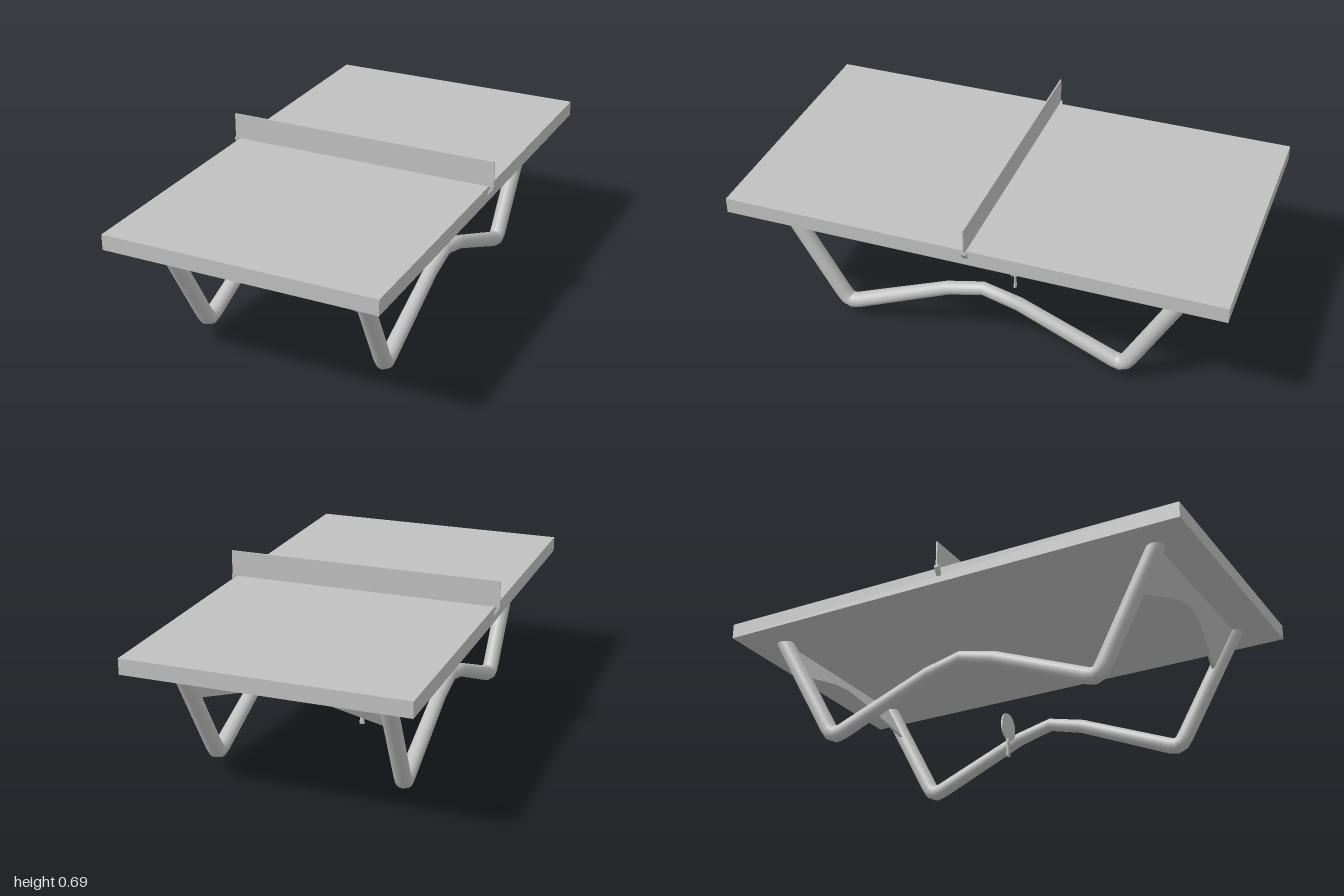
import * as THREE from 'three';

const grey = new THREE.MeshStandardMaterial({ color: 0xc0c0c0 });
grey.name = 'grey';

function add(parent, name, geometry) {
  const mesh = new THREE.Mesh(geometry, grey);
  mesh.name = name;
  parent.add(mesh);
  return mesh;
}

// Mitred pipe lying close to a plane of constant x; each point is [x, y, z, radius]
function pipe(points, sides = 20) {
  const centres = points.map(p => new THREE.Vector3(p[0], p[1], p[2]));
  const positions = [], index = [];
  const side = new THREE.Vector3(1, 0, 0);
  const last = points.length - 1;
  centres.forEach((c, i) => {
    const before = c.clone().sub(centres[Math.max(i - 1, 0)]).normalize();
    const after = centres[Math.min(i + 1, last)].clone().sub(c).normalize();
    const tangent = before.clone().add(after).normalize();
    const up = new THREE.Vector3().crossVectors(tangent, side).normalize();
    const r = points[i][3];
    for (let j = 0; j < sides; j++) {
      const a = j / sides * Math.PI * 2;
      const v = c.clone().addScaledVector(side, Math.cos(a) * r).addScaledVector(up, Math.sin(a) * r);
      positions.push(v.x, v.y, v.z);
      if (i < last) {
        const k = (j + 1) % sides, p = i * sides, q = p + sides;
        index.push(p + j, q + j, p + k, p + k, q + j, q + k);
      }
    }
  });
  // swap the winding if the first face points inward
  const geometry = new THREE.BufferGeometry();
  geometry.setAttribute('position', new THREE.Float32BufferAttribute(positions, 3));
  const [a, b, c] = [0, 1, 2].map(n => new THREE.Vector3().fromArray(positions, index[n] * 3));
  const normal = b.clone().sub(a).cross(c.clone().sub(a));
  if (normal.dot(a.clone().sub(centres[0])) < 0) index.reverse();
  geometry.setIndex(index);
  geometry.computeVertexNormals();
  return geometry;
}

export function createModel() {
  const model = new THREE.Group();
  model.name = 'tableTennisTable';

  // Table top and net
  add(model, 'tableTop', new THREE.BoxGeometry(1.11, 0.063, 2)).position.y = 0.5565;
  add(model, 'net', new THREE.BoxGeometry(1.15, 0.108, 0.006)).position.y = 0.641;

  // Net brackets: tapered struts from the table edge up to the net ends
  for (const s of [1, -1]) {
    const shape = new THREE.Shape([[0.553, 0.565], [0.553, 0.55], [0.575, 0.582], [0.575, 0.592], [0.568, 0.592]]
      .map(([x, y]) => new THREE.Vector2(x, y)));
    const geometry = new THREE.ExtrudeGeometry(shape, { depth: 0.02, bevelEnabled: false });
    geometry.translate(0, 0, -0.01);
    const bracket = add(model, s > 0 ? 'leftNetBracket' : 'rightNetBracket', geometry);
    if (s < 0) bracket.rotation.y = Math.PI;
  }

  // Bent pipe legs, one along each long side
  const half = [
    [0.403, 0.545, 0.851, 0.033], [0.386, 0.107, 0.61, 0.033], [0.385, 0.081, 0.593, 0.033],
    [0.384, 0.07, 0.57, 0.033], [0.383, 0.077, 0.54, 0.032], [0.378, 0.24, 0.15, 0.028], [0.378, 0.278, 0, 0.027],
  ];
  const path = [...half, ...half.slice(0, -1).reverse().map(([x, y, z, r]) => [x, y, -z, r])];
  const legGeometry = pipe(path);
  add(model, 'leftLeg', legGeometry);
  add(model, 'rightLeg', legGeometry).rotation.y = Math.PI;

  // Arched panels joining the legs, sloping with them
  const arch = [[0.375, 0.364], [0.2, 0.421], [0.097, 0.452], [0, 0.465]];
  const outline = [[-0.39, 0.53], ...arch.map(([x, y]) => [-x, y]), ...arch.slice(0, -1).reverse(), [0.39, 0.53]];
  const panelShape = new THREE.Shape(outline.map(([x, y]) => new THREE.Vector2(x, y)));
  const panelGeometry = new THREE.ExtrudeGeometry(panelShape, { depth: 0.012, bevelEnabled: false });
  const pos = panelGeometry.attributes.position;
  for (let i = 0; i < pos.count; i++) {
    pos.setZ(i, pos.getZ(i) + 0.834 + 0.55 * (pos.getY(i) - 0.525));
  }
  panelGeometry.computeVertexNormals();
  add(model, 'frontPanel', panelGeometry);
  add(model, 'backPanel', panelGeometry).rotation.y = Math.PI;

  // Bat standing under the middle of the table
  const bat = new THREE.Group();
  bat.name = 'bat';
  model.add(bat);
  const blade = new THREE.Shape();
  blade.moveTo(0, 0.183);
  blade.bezierCurveTo(0.033, 0.183, 0.054, 0.157, 0.054, 0.122);
  blade.bezierCurveTo(0.054, 0.092, 0.036, 0.072, 0.012, 0.072);
  blade.lineTo(-0.012, 0.072);
  blade.bezierCurveTo(-0.036, 0.072, -0.054, 0.092, -0.054, 0.122);
  blade.bezierCurveTo(-0.054, 0.157, -0.033, 0.183, 0, 0.183);
  const bladeGeometry = new THREE.ExtrudeGeometry(blade, { depth: 0.006, bevelEnabled: false, curveSegments: 10 });
  bladeGeometry.translate(0, 0, -0.003);
  add(bat, 'batBlade', bladeGeometry);

  const profile = [[0, 0], [0.012, 0], [0.012, 0.006], [0.009, 0.025], [0.009, 0.052], [0.014, 0.074], [0, 0.076]];
  const handle = add(bat, 'batHandle', new THREE.LatheGeometry(profile.map(([x, y]) => new THREE.Vector2(x, y)), 16));
  handle.scale.z = 0.6;

  return model;
}
